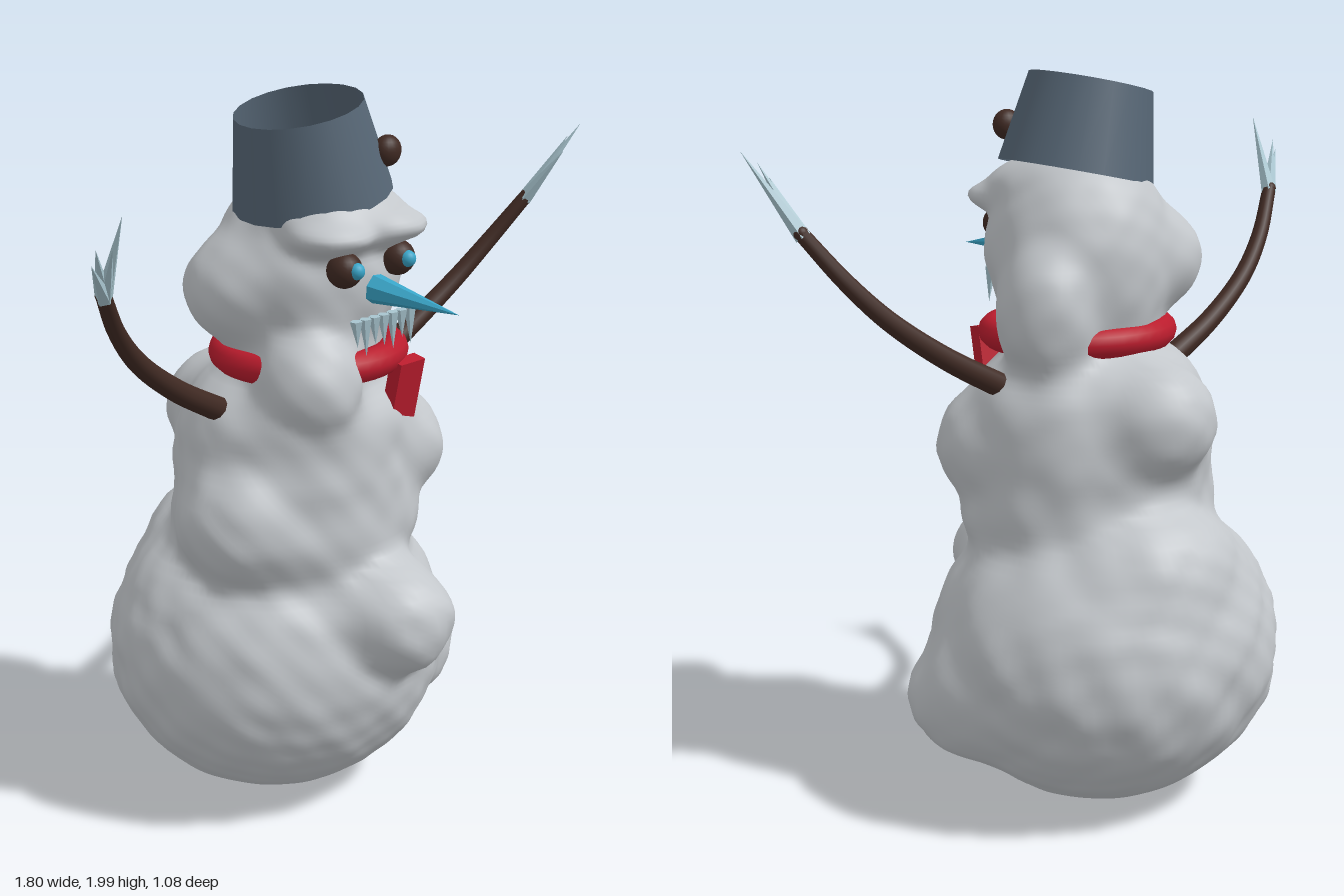
import * as THREE from 'three';

const mat = (name, color, extra = {}) => {
  const m = new THREE.MeshStandardMaterial({ color, ...extra });
  m.name = name;
  return m;
};

// Snow masses: centre x, y, z and radii x, y, z
const lumps = [
  [0, 0.44, -0.08, 0.493, 0.435, 0.458],     // base ball
  [0.03, 0.595, 0.335, 0.16, 0.155, 0.165],  // belly lump
  [0.03, 0.6, 0.25, 0.2, 0.17, 0.15],        // belly swell
  [0.35, 0.33, 0.02, 0.19, 0.18, 0.2],       // left hip lump
  [0, 0.67, -0.28, 0.26, 0.2, 0.2],          // lower back swell
  [0, 0.82, 0, 0.365, 0.22, 0.31],           // waist
  [0, 0.97, -0.01, 0.35, 0.36, 0.315],       // torso
  [-0.26, 0.88, 0.05, 0.17, 0.18, 0.18],     // right rib lump
  [0.24, 1.0, 0.1, 0.15, 0.16, 0.18],        // left rib lump
  [-0.03, 1.09, -0.25, 0.17, 0.16, 0.165],   // back lump
  [-0.13, 1.255, 0.165, 0.14, 0.16, 0.148],  // chest lump
  [0, 1.11, 0, 0.33, 0.18, 0.29],            // shoulders
  [0, 1.3, 0.03, 0.21, 0.15, 0.2],           // neck
  [0, 1.5, 0.02, 0.26, 0.3, 0.235],          // head
  [0, 1.53, 0.08, 0.24, 0.18, 0.182],        // face
  [-0.19, 1.49, -0.03, 0.135, 0.14, 0.15],   // right cheek lump
  [0.19, 1.37, -0.07, 0.13, 0.19, 0.135],    // left neck lump
  [0, 1.45, -0.09, 0.13, 0.2, 0.115],        // nape lump
  [0, 1.69, 0.12, 0.195, 0.09, 0.17],        // forehead
  [-0.1, 1.655, 0.22, 0.115, 0.045, 0.112],  // right brow
  [0.1, 1.655, 0.22, 0.115, 0.045, 0.112],   // left brow
];

// Smoothly blended distance to all the snow masses
function snowDistance(x, y, z) {
  let d = 9;
  const k = 0.05;
  for (const [cx, cy, cz, rx, ry, rz] of lumps) {
    const px = (x - cx) / rx, py = (y - cy) / ry, pz = (z - cz) / rz;
    const k0 = Math.hypot(px, py, pz);
    const k1 = Math.hypot(px / rx, py / ry, pz / rz) || 1;
    const e = k0 * (k0 - 1) / k1;
    const h = Math.max(k - Math.abs(d - e), 0) / k;
    d = Math.min(d, e) - h * h * k * 0.25;
  }
  return d;
}

// Rings stacked up the body, each point pulled in to the blended snow surface
function snowGeometry() {
  const rows = 130, cols = 110, y0 = 0.005, y1 = 1.8;
  const pos = [], index = [];
  for (let i = 0; i <= rows; i++) {
    const y = y0 + (y1 - y0) * (1 - Math.cos(Math.PI * i / rows)) / 2;
    const sz = -0.08 + 0.11 * y / y1;
    for (let j = 0; j < cols; j++) {
      const a = j / cols * Math.PI * 2, s = Math.sin(a), c = Math.cos(a);
      let r = 0;
      if (i > 0 && i < rows) {
        r = 0.72;
        while (r > 0 && snowDistance(r * s, y, sz + r * c) > 0) r -= 0.012;
        let lo = Math.max(r, 0), hi = lo + 0.012;
        for (let n = 0; n < 6; n++) {
          const m = (lo + hi) / 2;
          if (snowDistance(m * s, y, sz + m * c) > 0) hi = m; else lo = m;
        }
        r = lo;
        const x = r * s, z = r * c;
        const n = Math.sin(21 * x + 9 * y + 3) * Math.sin(19 * y - 8 * z) * Math.sin(18 * z + 7 * x + 1)
          + 0.6 * Math.sin(43 * x - 17 * z) * Math.sin(39 * y + 12 * x) * Math.sin(41 * z + 2 + 15 * y);
        r *= 1 + 0.018 * n;
      }
      pos.push(r * s, y, sz + r * c);
      if (i < rows) {
        const p = i * cols + j, q = i * cols + (j + 1) % cols;
        index.push(p, q, p + cols, q, q + cols, p + cols);
      }
    }
  }
  const g = new THREE.BufferGeometry();
  g.setAttribute('position', new THREE.Float32BufferAttribute(pos, 3));
  g.setIndex(index);
  g.computeVertexNormals();
  return g;
}

export function createModel() {
  const model = new THREE.Group();
  model.name = 'snowman';
  const snow = mat('snow', 0xc3c7cb);
  const metal = mat('bucket metal', 0x566675, { side: THREE.DoubleSide });
  const wood = mat('dark wood', 0x402a23);
  const red = mat('scarf red', 0xba1c2d);
  const blue = mat('ice blue', 0x39a5c8);
  const ice = mat('pale ice', 0xa9c6d0);

  const add = (name, geometry, material, parent = model) => {
    const m = new THREE.Mesh(geometry, material);
    m.name = name;
    parent.add(m);
    return m;
  };
  const ball = (name, r, p, material, parent) => {
    const m = add(name, new THREE.SphereGeometry(r, 20, 14), material, parent);
    m.position.set(...p);
    return m;
  };
  // Faceted spike from base point a to tip b
  const spike = (name, a, b, r, sides, material, parent) => {
    const from = new THREE.Vector3(...a), dir = new THREE.Vector3(...b).sub(from);
    const len = dir.length();
    const g = new THREE.ConeGeometry(r, len, sides).translate(0, len / 2, 0).toNonIndexed();
    g.computeVertexNormals();
    const m = add(name, g, material, parent);
    m.position.copy(from);
    m.quaternion.setFromUnitVectors(new THREE.Vector3(0, 1, 0), dir.normalize());
  };

  add('snowBody', snowGeometry(), snow);

  // Open bucket hat, tilted, with a round knob
  const hat = add('bucketHat', new THREE.CylinderGeometry(0.17, 0.213, 0.245, 20, 1, true), metal);
  hat.position.set(-0.038, 1.841, 0.067);
  hat.rotation.z = 0.215;
  ball('hatKnob', 0.041, [0.105, 1.845, 0.222], wood).scale.z = 0.8;

  // Face
  for (const s of [-1, 1]) {
    ball('eye', 0.047, [s * 0.1, 1.573, 0.267], wood);
    ball('pupil', 0.022, [s * 0.097, 1.576, 0.306], blue);
  }
  spike('nose', [0, 1.51, 0.28], [0.03, 1.482, 0.54], 0.04, 7, blue);
  const teeth = new THREE.Group();
  teeth.name = 'teeth';
  model.add(teeth);
  [0.07, 0.1, 0.075, 0.085, 0.1, 0.075, 0.1].forEach((len, i) => {
    const x = -0.1 + i * 0.034;
    spike('tooth', [x, 1.447, 0.31], [x + 0.004, 1.447 - len, 0.312], 0.017, 5, ice, teeth);
  });

  // Scarf ring and hanging tail
  const scarf = add('scarf', new THREE.TorusGeometry(0.23, 0.045, 12, 40).rotateX(Math.PI / 2), red);
  scarf.position.set(0.005, 1.3, 0.038);
  scarf.scale.set(1.0, 0.95, 0.96);
  const tailShape = new THREE.Shape([[-0.047, 0], [-0.047, -0.145], [0.047, -0.175], [0.047, 0]]
    .map(p => new THREE.Vector2(...p)));
  const tail = add('scarfTail', new THREE.ExtrudeGeometry(tailShape, { depth: 0.04, bevelEnabled: false }), red);
  tail.position.set(0.135, 1.295, 0.26);
  tail.rotation.x = 0.2;

  // Arms: tapered branches with spiky ice fingers
  const arm = (name, s, tips) => {
    const group = new THREE.Group();
    group.name = name;
    model.add(group);
    const path = new THREE.CatmullRomCurve3([
      [0.29, 1.185, 0], [0.45, 1.275, 0.015], [0.6, 1.385, 0.045], [0.7, 1.49, 0.085], [0.79, 1.615, 0.145],
    ].map(([x, y, z]) => new THREE.Vector3(s * x, y, z)));
    const n = 24, sides = 10;
    const g = new THREE.TubeGeometry(path, n, 0.034, sides);
    const p = g.attributes.position, v = new THREE.Vector3();
    for (let i = 0; i <= n; i++) {
      const c = path.getPointAt(i / n);
      for (let j = 0; j <= sides; j++) {
        const k = i * (sides + 1) + j;
        v.fromBufferAttribute(p, k).sub(c).multiplyScalar(1 - 0.42 * i / n).add(c);
        p.setXYZ(k, v.x, v.y, v.z);
      }
    }
    add('branch', g, wood, group);
    ball('branchRoot', 0.034, path.getPoint(0).toArray(), wood, group);
    ball('branchEnd', 0.02, path.getPoint(1).toArray(), wood, group);
    for (const [x, y, z] of tips) spike('finger', [s * 0.785, 1.605, 0.142], [s * x, y, z], 0.022, 5, ice, group);
  };
  arm('leftArm', 1, [[0.9, 1.82, 0.242], [0.86, 1.79, 0.23], [0.82, 1.75, 0.245], [0.845, 1.74, 0.215]]);
  arm('rightArm', -1, [[0.9, 1.72, 0.24], [0.87, 1.75, 0.22], [0.805, 1.82, 0.24], [0.84, 1.75, 0.245]]);

  return model;
}
